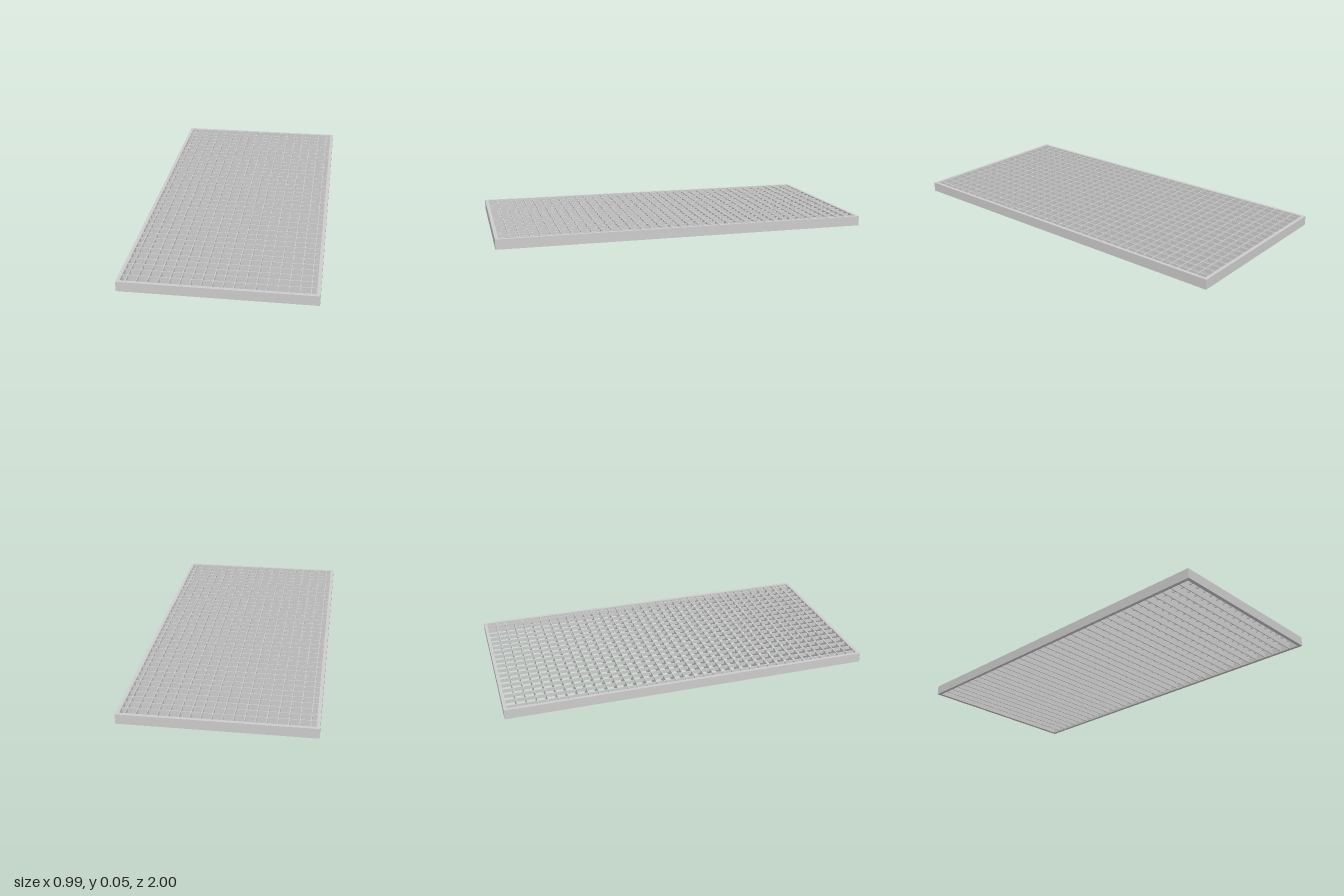
import * as THREE from 'three';

const WIDTH = 0.99, LENGTH = 2, HEIGHT = 0.053;
const RIM = 0.018;      // frame wall thickness
const PITCH = 0.053;    // mesh spacing

export function createModel() {
  const group = new THREE.Group();
  group.name = 'floorGrating';
  const material = new THREE.MeshStandardMaterial({ color: 0xcccccc });

  // Rectangular outer frame, open in the middle
  const rect = (Type, w, l) => new Type([
    new THREE.Vector2(-w / 2, -l / 2), new THREE.Vector2(w / 2, -l / 2),
    new THREE.Vector2(w / 2, l / 2), new THREE.Vector2(-w / 2, l / 2),
  ]);
  const outline = rect(THREE.Shape, WIDTH, LENGTH);
  outline.holes.push(rect(THREE.Path, WIDTH - 2 * RIM, LENGTH - 2 * RIM));
  const frameGeometry = new THREE.ExtrudeGeometry(outline, { depth: HEIGHT, bevelEnabled: false });
  frameGeometry.rotateX(-Math.PI / 2);
  const frame = new THREE.Mesh(frameGeometry, material);
  frame.name = 'frame';
  group.add(frame);

  // Row of evenly spaced bars, centred on the grating
  const addBars = (name, count, size, y, axis) => {
    const bars = new THREE.Group();
    bars.name = name + 's';
    const geometry = new THREE.BoxGeometry(...size);
    for (let i = 0; i < count; i++) {
      const bar = new THREE.Mesh(geometry, material);
      bar.name = name;
      bar.position.y = y;
      bar.position[axis] = (i - (count - 1) / 2) * PITCH;
      bars.add(bar);
    }
    group.add(bars);
  };

  // Deep bearing bars across the width
  const barDepth = HEIGHT - 0.002;
  addBars('bearingBar', 36, [WIDTH - 2 * RIM, barDepth, 0.004], HEIGHT / 2, 'z');

  // Shallow cross bars along the length, near the top
  const crossDepth = 0.02;
  addBars('crossBar', 18, [0.004, crossDepth, LENGTH - 2 * RIM], HEIGHT - 0.0015 - crossDepth / 2, 'x');

  return group;
}
